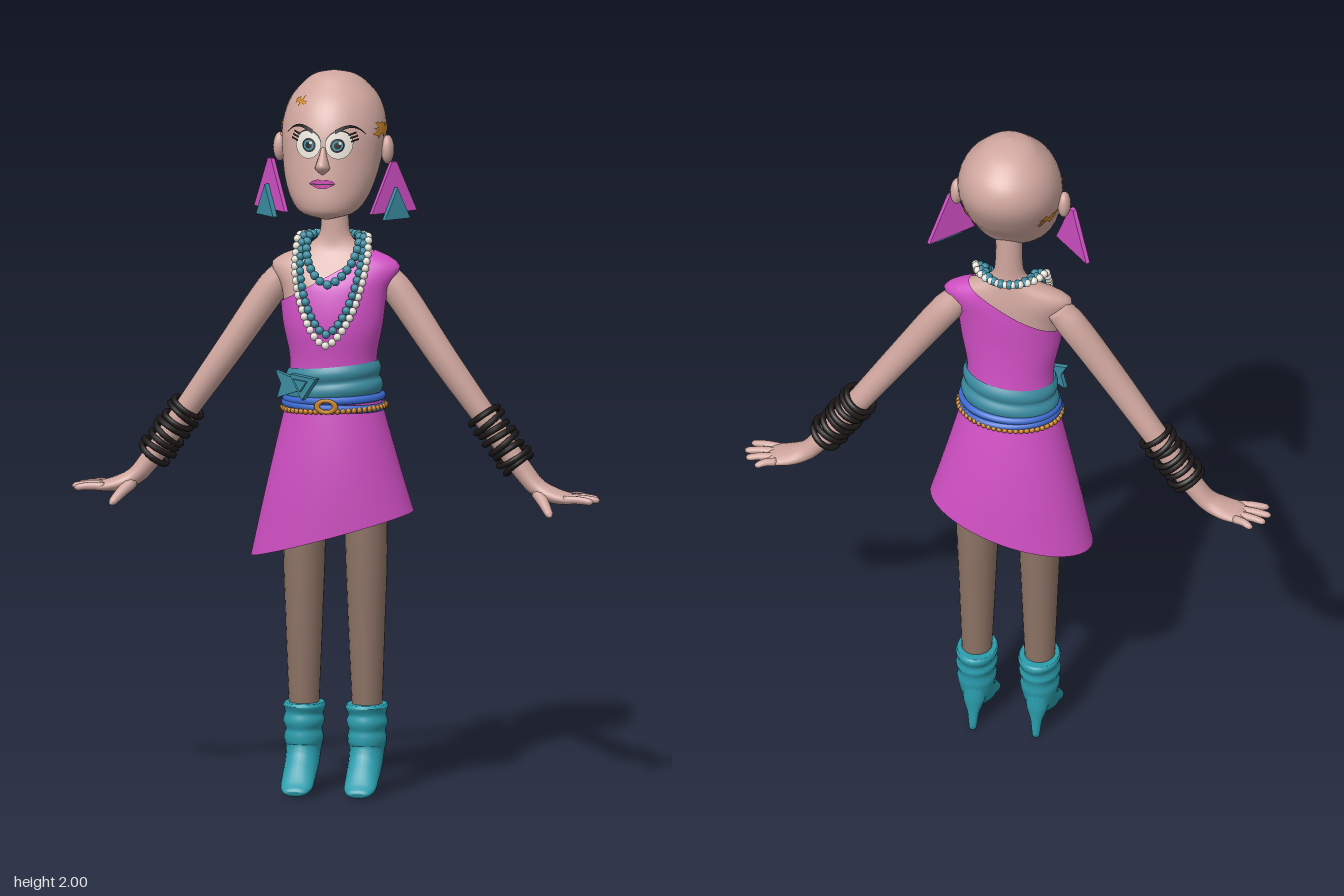
import * as THREE from 'three';
import { mergeGeometries } from 'three/addons/utils/BufferGeometryUtils.js';

const V = (x, y, z) => new THREE.Vector3(x, y, z);
const TAU = Math.PI * 2;
const lerp = THREE.MathUtils.lerp;

function paint(name, color, side = THREE.FrontSide) {
  const m = new THREE.MeshStandardMaterial({ color, side });
  m.name = name;
  return m;
}

// Closed-ring surface: fn(v, angle) gives a point, v runs along the axis
function skinSurface(fn, rows, cols, caps = true) {
  const pos = [], idx = [];
  for (let i = 0; i <= rows; i++)
    for (let j = 0; j < cols; j++) pos.push(...fn(i / rows, (j / cols) * TAU));
  for (let i = 0; i < rows; i++)
    for (let j = 0; j < cols; j++) {
      const k = (j + 1) % cols, a = i * cols + j, b = i * cols + k;
      idx.push(a, b, a + cols, b, b + cols, a + cols);
    }
  if (caps) for (const end of [0, rows]) {
    const mid = [0, 0, 0], n = pos.length / 3;
    for (let j = 0; j < cols; j++) for (let c = 0; c < 3; c++) mid[c] += pos[(end * cols + j) * 3 + c] / cols;
    pos.push(...mid);
    for (let j = 0; j < cols; j++) {
      const a = end * cols + j, b = end * cols + (j + 1) % cols;
      if (end) idx.push(a, b, n); else idx.push(b, a, n);
    }
  }
  const g = new THREE.BufferGeometry();
  g.setAttribute('position', new THREE.Float32BufferAttribute(pos, 3));
  g.setIndex(idx);
  g.computeVertexNormals();
  return g;
}

// Limb through [x, y, z, radius along ref, radius across]
function limb(points, ref, rows = 24, cols = 18) {
  const path = new THREE.CatmullRomCurve3(points.map(p => V(p[0], p[1], p[2])));
  const size = new THREE.CatmullRomCurve3(points.map(p => V(p[3], p[4], 0)));
  return skinSurface((t, a) => {
    const T = path.getTangent(t), v = T.clone().cross(ref).normalize(), u = v.clone().cross(T), r = size.getPoint(t);
    return path.getPoint(t).addScaledVector(u, r.x * Math.cos(a)).addScaledVector(v, r.y * Math.sin(a)).toArray();
  }, rows, cols);
}

// Smooth lookup in rows of [y, rx, front z, back z]
function section(rows, y) {
  let i = 0;
  while (i < rows.length - 2 && y > rows[i + 1][0]) i++;
  const at = k => rows[Math.min(rows.length - 1, Math.max(0, k))];
  const [p, a, b, q] = [at(i - 1), at(i), at(i + 1), at(i + 2)], h = b[0] - a[0];
  const t = THREE.MathUtils.clamp((y - a[0]) / h, 0, 1);
  const val = c => {
    const m = (b[c] - p[c]) / (b[0] - p[0]) * h, n = (q[c] - a[c]) / (q[0] - a[0]) * h;
    return a[c] + t * m + t * t * (3 * (b[c] - a[c]) - 2 * m - n) + t * t * t * (2 * (a[c] - b[c]) + m + n);
  };
  return { rx: Math.max(0, val(1)), cz: (val(2) + val(3)) / 2, rz: Math.max(0, (val(2) - val(3)) / 2) };
}
function around(rows, y, a, off = 0) {
  const s = section(rows, y);
  return [(s.rx + off) * Math.sin(a), y, s.cz + (s.rz + off) * Math.cos(a)];
}

const HEAD = [[1.605, 0.02, 0.11, 0.06], [1.62, 0.07, 0.15, 0.01], [1.65, 0.1, 0.163, -0.04], [1.7, 0.122, 0.16, -0.08],
  [1.76, 0.135, 0.152, -0.13], [1.85, 0.142, 0.135, -0.178], [1.92, 0.122, 0.1, -0.168], [1.97, 0.08, 0.048, -0.115],
  [1.99, 0.048, 0.02, -0.07], [2, 0, -0.02, -0.02]];
const TORSO = [[1.08, 0.124, 0.075, -0.11], [1.2, 0.115, 0.078, -0.092], [1.3, 0.133, 0.085, -0.085], [1.4, 0.148, 0.07, -0.085],
  [1.46, 0.178, 0.042, -0.082], [1.485, 0.15, 0.028, -0.078], [1.503, 0.105, 0.016, -0.075], [1.53, 0.056, 0.01, -0.07],
  [1.58, 0.042, 0.008, -0.068], [1.7, 0.042, 0.008, -0.066]];

// Wraps a flat geometry onto the head (x is arc length from the nose line)
function onHead(g, off) {
  const p = g.attributes.position;
  for (let i = 0; i < p.count; i++) p.setXYZ(i, ...around(HEAD, p.getY(i), p.getX(i) / 0.14, off));
  g.computeVertexNormals();
  return g;
}
const disc = (x, y, r, off) => onHead(new THREE.RingGeometry(0, r, 28, 4).translate(x, y, 0), off);
function strip(x0, x1, top, bottom, off) {
  const g = new THREE.PlaneGeometry(1, 1, 16, 2), p = g.attributes.position;
  for (let i = 0; i < p.count; i++) {
    const t = p.getX(i) + 0.5;
    p.setXY(i, lerp(x0, x1, t), lerp(bottom(t), top(t), p.getY(i) + 0.5));
  }
  return onHead(g, off);
}
function blot(x, y, w, h) {
  const g = new THREE.RingGeometry(0, 1, 26, 4), p = g.attributes.position;
  for (let i = 0; i < p.count; i++) {
    const a = Math.round(Math.atan2(p.getY(i), p.getX(i)) / TAU * 26 + 26) % 26;
    const k = 0.62 + 0.38 * Math.sin(a * a * 1.7 + x * 40);
    p.setXY(i, x + p.getX(i) * w * k, y + p.getY(i) * h * k);
  }
  return onHead(g, 0.003);
}
function plate(points, depth) {
  return new THREE.ExtrudeGeometry(new THREE.Shape(points.map(p => new THREE.Vector2(...p))), { depth, bevelEnabled: false });
}
function beads(curve, r) {
  const n = Math.round(curve.getLength() / (r * 1.9));
  return mergeGeometries(curve.getSpacedPoints(n).slice(0, n).map(p => new THREE.SphereGeometry(r, 10, 8).translate(p.x, p.y, p.z)));
}
function loop(fn, n = 48) {
  return new THREE.CatmullRomCurve3(Array.from({ length: n }, (_, i) => fn((i / n) * TAU)), true);
}

export function createModel() {
  const model = new THREE.Group();
  const skin = paint('skin', 0xcfa69e), tights = paint('tights', 0x8e7466), pink = paint('dress pink', 0xcf4fc3, THREE.DoubleSide);
  const bootTeal = paint('boot teal', 0x2a9cac), teal = paint('sash teal', 0x3a8ba0), blue = paint('belt blue', 0x3a6ad0);
  const gold = paint('gold', 0xc98428), black = paint('black', 0x1b1716), white = paint('white', 0xe9e4da), lip = paint('lip pink', 0xc23aa6);
  const add = (name, geo, mat, parent = model) => {
    const m = new THREE.Mesh(geo, mat);
    m.name = name;
    parent.add(m);
    return m;
  };

  // Head and face
  add('head', skinSurface((v, a) => around(HEAD, 1.8025 - 0.1975 * Math.cos(v * Math.PI), a), 40, 40), skin);
  const NOSE = [[1.735, 0.004, 0.156, 0.14], [1.75, 0.02, 0.178, 0.13], [1.762, 0.018, 0.184, 0.13], [1.785, 0.011, 0.165, 0.13], [1.81, 0.006, 0.145, 0.13]];
  add('nose', skinSurface((v, a) => around(NOSE, 1.735 + 0.075 * v, a), 12, 14), skin);
  add('lips', strip(-0.04, 0.04, t => 1.71 + 0.014 * Math.sin(t * Math.PI) ** 0.6 - 0.004 * Math.exp(-(((t - 0.5) * 10) ** 2)),
    t => 1.71 - 0.013 * Math.sin(t * Math.PI), 0.004), lip);
  add('mouthLine', strip(-0.034, 0.034, () => 1.7115, () => 1.7085, 0.006), black);
  for (const s of [-1, 1]) {
    const x = s * 0.043;
    add('eyeOutline', disc(x, 1.818, 0.038, 0.003), black);
    add('eyeWhite', disc(x, 1.815, 0.037, 0.005), white);
    add('irisRim', disc(s * 0.038, 1.815, 0.019, 0.007), black);
    add('iris', disc(s * 0.038, 1.815, 0.014, 0.0085), teal);
    add('pupil', disc(s * 0.038, 1.815, 0.009, 0.0095), black);
    add('eyeGlint', disc(s * 0.038 + 0.006, 1.822, 0.004, 0.0105), white);
    const [x0, x1] = s > 0 ? [0.03, 0.115] : [-0.115, -0.03], out = t => (s > 0 ? t : 1 - t);
    const arch = t => 1.85 + 0.026 * Math.sin(out(t) * 2.6) - 0.022 * out(t);
    add('eyebrow', strip(x0, x1, t => arch(t) + 0.007 * (1 - 0.8 * out(t)), t => arch(t) - 0.005 * (1 - 0.8 * out(t)), 0.006), black);
    for (let i = 0; i < 3; i++) {
      const y = 1.822 + i * 0.009, [a, b] = s > 0 ? [0.074 - i * 0.004, 0.096 - i * 0.004] : [-0.096 + i * 0.004, -0.074 + i * 0.004];
      add('eyelash', strip(a, b, t => y + 0.005 + 0.006 * out(t), t => y + 0.006 * out(t), 0.005), black);
    }
    add('ear', new THREE.SphereGeometry(1, 18, 14).scale(0.018, 0.04, 0.026).translate(s * 0.15, 1.785, -0.01), skin);
    add('goldPatch', blot(s * 0.19, 1.845, 0.05, 0.032), gold);
    add('goldPatch', blot(s * 0.3, 1.78, 0.05, 0.026), gold);

    // Triangle earrings
    const earring = new THREE.Group();
    earring.name = 'earring';
    earring.position.set(s * 0.17, 0, 0.012);
    earring.rotation.y = s * Math.PI / 4;
    add('earringTriangle', plate([[-0.075, 1.615], [0.075, 1.615], [0.008, 1.755], [-0.008, 1.755]], 0.012).translate(0, 0, -0.006), pink, earring);
    add('earringDrop', plate([[-0.042, 1.598], [0.042, 1.598], [0, 1.685]], 0.014).translate(0, 0, 0.008), teal, earring);
    model.add(earring);
  }
  add('goldPatch', blot(-0.09, 1.925, 0.032, 0.016), gold);

  // Body and one-shoulder dress, cut by a slanted neckline
  add('torsoAndNeck', skinSurface((v, a) => around(TORSO, lerp(1.15, 1.69, v), a, -0.004), 48, 40), skin);
  const neckline = a => {
    let lo = 1.1, hi = 1.6;
    for (let i = 0; i < 24; i++) {
      const y = (lo + hi) / 2;
      if (y < 1.36 + (around(TORSO, y, a)[0] + 0.14) * 0.58) lo = y; else hi = y;
    }
    return lo;
  };
  add('bodice', skinSurface((v, a) => around(TORSO, lerp(1.09, neckline(a), v), a, 0.005), 30, 56, false), pink);
  add('skirt', skinSurface((v, a) => {
    const t = 1 - v, x = lerp(0, -0.01, t) + lerp(0.128, 0.226, t) * Math.sin(a);
    const z = lerp(-0.016, -0.043, t) + (lerp(0.098, 0.141, t) + 0.008 * Math.sin(t * Math.PI)) * Math.cos(a);
    return [x, lerp(1.1, 0.717 + x * 0.29, t), z];
  }, 20, 56, false), pink);

  // Sash, knot and belt
  add('sash', skinSurface((v, a) => {
    const p = around(TORSO, lerp(1.1, 1.19, v), a, 0.008 + 0.008 * Math.abs(Math.sin(v * TAU)));
    p[1] += p[0] * 0.1;
    return p;
  }, 14, 48, false), Object.assign(teal, { side: THREE.DoubleSide }));
  const bow = new THREE.Group();
  bow.name = 'sashKnot';
  bow.position.set(-0.07, 1.14, 0.078);
  bow.rotation.y = -0.4;
  add('knotTail', plate([[0, 0.012], [-0.08, 0.035], [-0.062, 0], [-0.075, -0.04], [0, -0.014]], 0.014), teal, bow);
  add('knotLoop', plate([[-0.03, 0.03], [0.055, 0.022], [0.01, -0.04]], 0.02), teal, bow);
  add('knotFold', plate([[-0.012, 0.018], [0.03, 0.014], [0.008, -0.016]], 0.028), teal, bow);
  model.add(bow);
  const hoop = (y, grow, tilt) => loop(a => V((0.13 + grow) * Math.sin(a), y + tilt * Math.sin(a), -0.015 + (0.1 + grow) * Math.cos(a)));
  add('upperBelt', new THREE.TubeGeometry(hoop(1.097, 0.002, 0.005), 64, 0.011, 8, true), blue);
  add('lowerBelt', new THREE.TubeGeometry(hoop(1.077, 0.005, -0.004), 64, 0.011, 8, true), blue);
  add('beltBeads', beads(hoop(1.07, 0.012, 0.006), 0.008), gold);
  add('buckle', new THREE.TorusGeometry(0.018, 0.006, 8, 20).scale(1.4, 0.9, 1).translate(0, 1.085, 0.103), gold);

  // Bead necklaces
  const strand = (w, low, front) => loop(t => {
    const u = (1 - Math.cos(t)) / 2, x = w * Math.sin(t), y = lerp(low, 1.54, Math.min(1, u * 1.7) ** 0.8);
    const s = section(TORSO, y), surf = s.cz + s.rz * Math.sqrt(Math.max(0, 1 - (x / s.rx) ** 2));
    const z = lerp(front, -0.085, u);
    return V(x, y, u < 0.5 ? Math.max(z, surf + 0.013) : z);
  });
  add('shortNecklace', beads(strand(0.072, 1.42, 0.085), 0.0125), teal);
  add('longInnerNecklace', beads(strand(0.086, 1.285, 0.105), 0.0115), teal);
  add('longOuterNecklace', beads(strand(0.1, 1.255, 0.112), 0.011), white);

  // Arms, hands, bracelets, legs and boots
  const Z = V(0, 0, 1), X = V(1, 0, 0);
  for (const s of [-1, 1]) {
    const side = pts => pts.map(p => [p[0] * s, ...p.slice(1)]);
    add('armAndPalm', limb(side([[0.135, 1.44, -0.03, 0.036, 0.036], [0.18, 1.385, -0.032, 0.04, 0.043], [0.3, 1.21, -0.032, 0.038, 0.039],
      [0.42, 1.04, -0.044, 0.035, 0.033], [0.52, 0.9, -0.05, 0.033, 0.028], [0.56, 0.855, -0.05, 0.036, 0.025],
      [0.605, 0.834, -0.05, 0.045, 0.021], [0.645, 0.826, -0.05, 0.046, 0.016], [0.665, 0.825, -0.05, 0.036, 0.009]]), Z, 48, 20), skin);
    for (const [z0, x1, z1] of [[-0.084, 0.695, -0.104], [-0.062, 0.725, -0.075], [-0.039, 0.734, -0.044], [-0.017, 0.722, -0.01]])
      add('finger', limb(side([[0.64, 0.827, z0, 0.012, 0.012], [(0.64 + x1) / 2, 0.828, (z0 + z1) / 2, 0.011, 0.011],
        [x1 - 0.008, 0.824, z1, 0.0095, 0.009], [x1, 0.823, z1, 0.003, 0.003]]), Z, 10, 10), skin);
    add('thumb', limb(side([[0.565, 0.84, -0.03, 0.018, 0.018], [0.59, 0.815, 0.005, 0.015, 0.015],
      [0.608, 0.793, 0.033, 0.011, 0.011], [0.613, 0.788, 0.041, 0.003, 0.003]]), X, 12, 10), skin);
    for (let i = 0; i < 8; i++) {
      const t = i / 7, ring = add('bracelet', new THREE.TorusGeometry(0.044 + 0.003 * Math.sin(i * 2.3), 0.0085, 8, 28), black);
      ring.position.set(s * lerp(0.413, 0.507, t), lerp(1.05, 0.918, t), lerp(-0.044, -0.05, t));
      ring.quaternion.setFromUnitVectors(Z, V(s * (0.58 + 0.12 * Math.sin(i * 1.9)), -0.81, 0.12 * Math.sin(i * 2.7 + s)).normalize());
    }
    add('leg', limb(side([[0.088, 0.18, -0.04, 0.039, 0.042], [0.087, 0.45, -0.036, 0.05, 0.058],
      [0.086, 0.7, -0.035, 0.058, 0.069], [0.078, 0.98, -0.03, 0.058, 0.07]]), X, 16, 24), tights);
    add('boot', limb(side([[0.087, 0.246, -0.04, 0.054, 0.068], [0.087, 0.236, -0.04, 0.058, 0.074], [0.088, 0.215, -0.039, 0.052, 0.066],
      [0.088, 0.195, -0.038, 0.057, 0.069], [0.088, 0.172, -0.038, 0.05, 0.064], [0.088, 0.15, -0.037, 0.054, 0.065],
      [0.088, 0.118, -0.034, 0.048, 0.06], [0.088, 0.083, -0.012, 0.047, 0.052], [0.088, 0.05, 0.032, 0.046, 0.036],
      [0.088, 0.024, 0.073, 0.044, 0.021], [0.088, 0.013, 0.1, 0.032, 0.012], [0.088, 0.011, 0.106, 0.02, 0.006]]), X, 60, 24), bootTeal);
    add('heel', limb(side([[0.088, 0.14, -0.065, 0.036, 0.036], [0.088, 0.09, -0.078, 0.03, 0.026],
      [0.088, 0.05, -0.088, 0.016, 0.014], [0.088, 0, -0.094, 0.01, 0.01]]), X, 12, 14), bootTeal);
  }
  return model;
}
